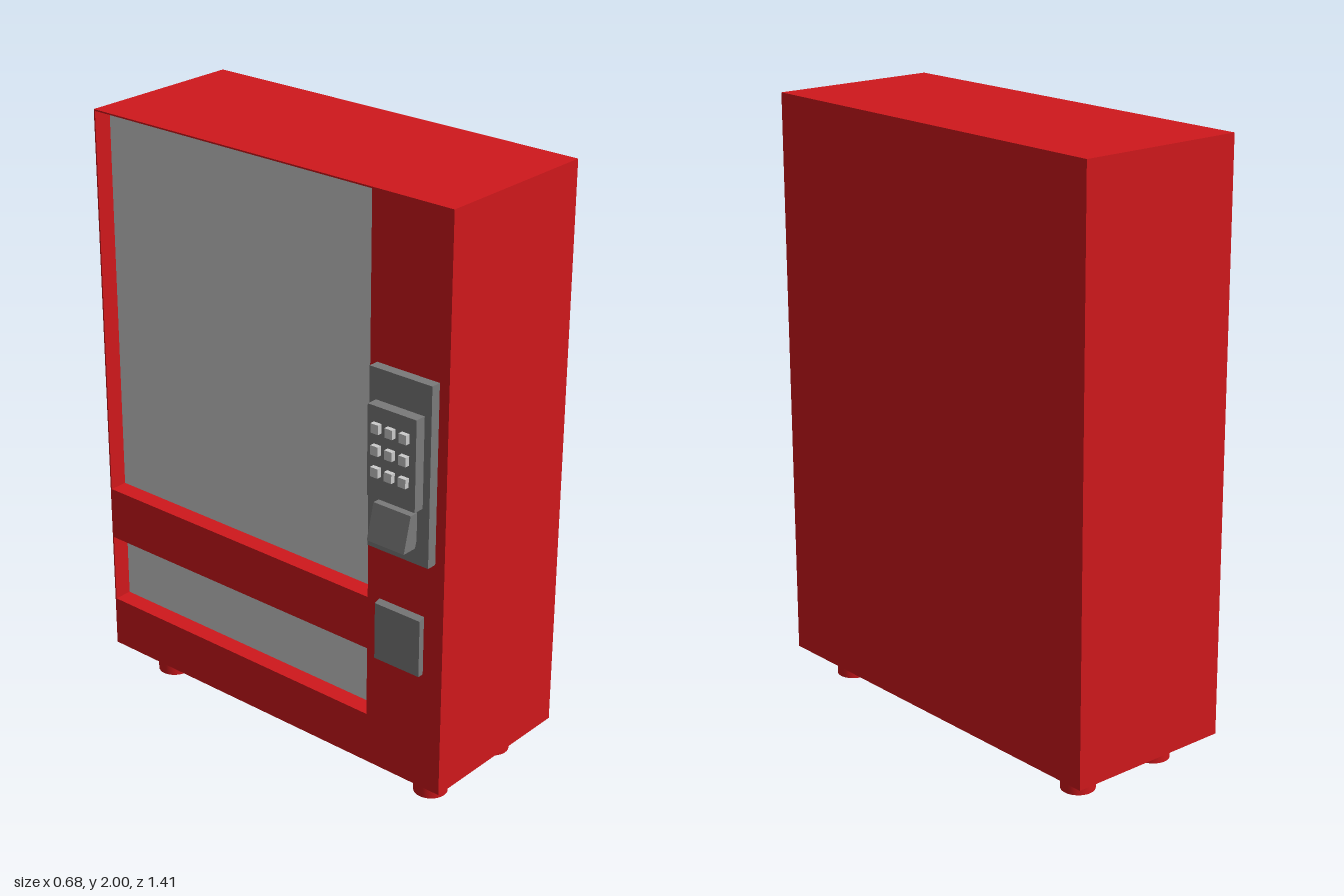
import * as THREE from 'three';

const RED = 0xd0181c, DARK = 0x7a7a7a, GREY = 0xcccccc;
const FACE = -0.247; // plane of the serving side, which looks toward -x
const PANE = -0.182; // plane of the recessed panes

const paint = (color) => new THREE.MeshStandardMaterial({ color });

export function createModel() {
  const group = new THREE.Group();
  group.name = 'vendingMachine';
  const red = paint(RED), dark = paint(DARK), grey = paint(GREY);

  const add = (name, geometry, material) => {
    const mesh = new THREE.Mesh(geometry, material);
    mesh.name = name;
    group.add(mesh);
    return mesh;
  };
  // box given by its limits on each axis
  const box = (name, material, [x0, x1], [y0, y1], [z0, z1]) => {
    const mesh = add(name, new THREE.BoxGeometry(x1 - x0, y1 - y0, z1 - z0), material);
    mesh.position.set((x0 + x1) / 2, (y0 + y1) / 2, (z0 + z1) / 2);
    return mesh;
  };
  // x-y outline swept along z
  const sweep = (name, material, outline, z0, z1) => {
    const shape = new THREE.Shape(outline.map(([x, y]) => new THREE.Vector2(x, y)));
    const geometry = new THREE.ExtrudeGeometry(shape, { depth: z1 - z0, bevelEnabled: false });
    geometry.translate(0, 0, z0);
    return add(name, geometry, material);
  };
  const rect = (Type, a0, a1, b0, b1) => new Type([
    [a0, b0], [a1, b0], [a1, b1], [a0, b1],
  ].map(([a, b]) => new THREE.Vector2(a, b)));

  // cabinet body
  box('cabinet', red, [PANE, 0.335], [0.095, 2], [-0.705, 0.705]);

  // serving side: a frame with a display window and a delivery opening
  const openings = [
    ['displayPane', 0.687, 1.995],
    ['deliveryPane', 0.268, 0.506],
  ];
  const frame = rect(THREE.Shape, -0.705, 0.705, 0.095, 2);
  for (const [name, y0, y1] of openings) {
    frame.holes.push(rect(THREE.Path, -0.7, 0.414, y0, y1));
    box(name, grey, [PANE - 0.003, PANE + 0.003], [y0, y1], [-0.7, 0.414]);
  }
  const frameGeometry = new THREE.ExtrudeGeometry(frame, { depth: PANE - FACE, bevelEnabled: false });
  frameGeometry.rotateY(-Math.PI / 2);
  add('frontFrame', frameGeometry, red).position.x = PANE;

  // payment panel with raised keypad
  box('paymentPanel', dark, [-0.281, FACE], [0.89, 1.475], [0.44, 0.67]);
  box('keypad', dark, [-0.318, -0.281], [1.08, 1.375], [0.465, 0.645]);
  for (const y of [1.17, 1.24, 1.31]) {
    for (const z of [0.503, 0.555, 0.607]) {
      box('keypadButton', grey, [-0.334, -0.318], [y - 0.015, y + 0.015], [z - 0.014, z + 0.014]);
    }
  }

  // slanted hood below the keypad
  sweep('slotHood', dark,
    [[-0.281, 0.97], [-0.281, 1.06], [-0.311, 1.06], [-0.34, 0.945], [-0.288, 0.945]], 0.485, 0.625);

  // change return flap
  sweep('changeReturn', dark,
    [[FACE, 0.5], [FACE, 0.7], [-0.268, 0.692], [-0.268, 0.5]], 0.46, 0.633);

  // feet
  for (const x of [-0.125, 0.197]) {
    for (const z of [-0.55, 0.58]) {
      add('foot', new THREE.CylinderGeometry(0.055, 0.055, 0.1, 32), red).position.set(x, 0.05, z);
    }
  }
  return group;
}
